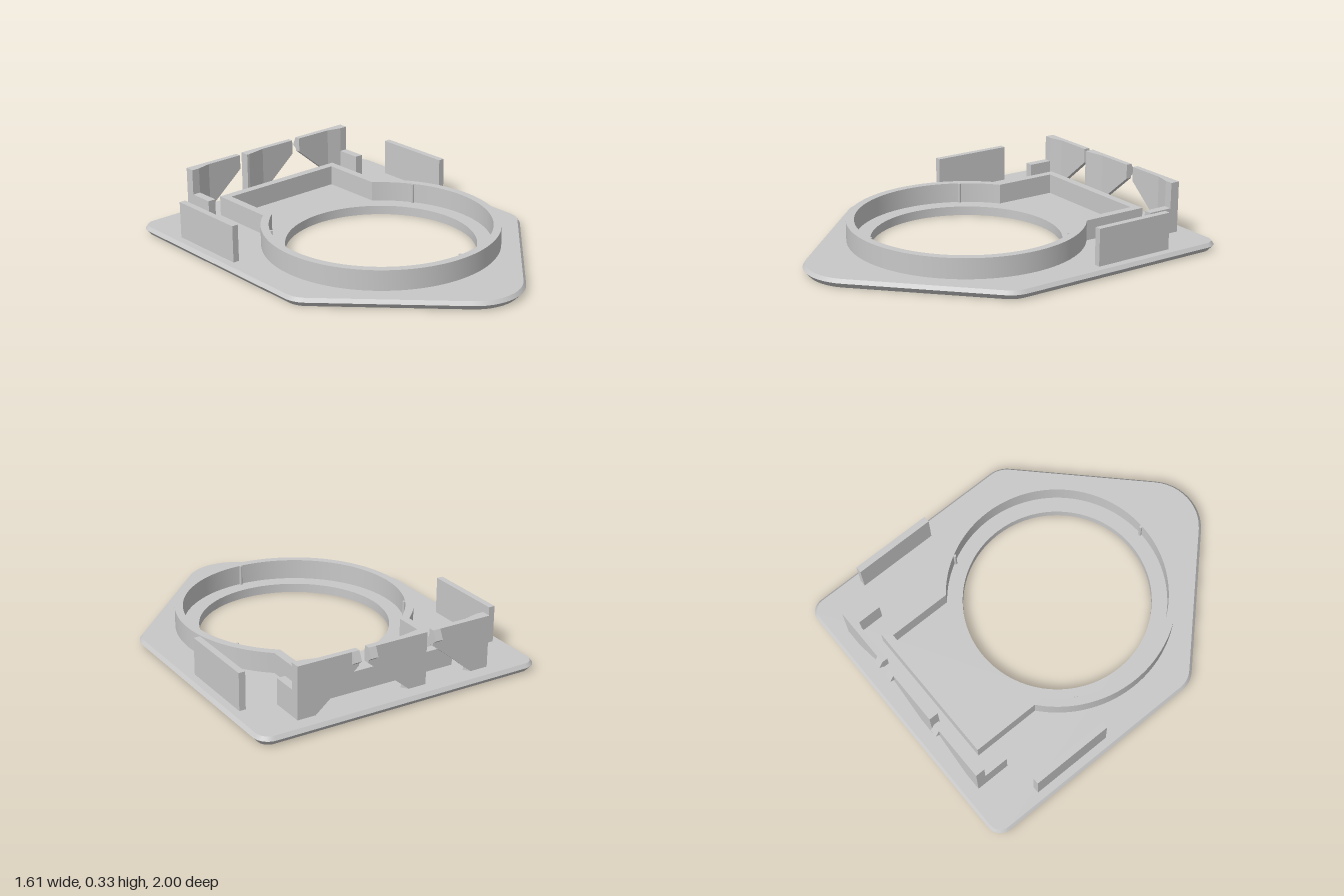
import * as THREE from 'three';
import { mergeGeometries, toCreasedNormals } from 'three/addons/utils/BufferGeometryUtils.js';

const grey = new THREE.MeshStandardMaterial({ color: 0xc8c8c8 });
grey.name = 'grey plastic';

const TOP = 0.05;          // upper face of the base plate
const CZ = 0.059;          // centre of the round opening
const rad = THREE.MathUtils.degToRad;

// Rounded outline corners: [x, z, radius, start angle, end angle]
const plateCorners = [
  [0, 0.73, 0.27, 45, 135], [-0.657, 0.243, 0.15, 135, 180],
  [-0.727, -0.92, 0.08, 180, 270], [0.727, -0.92, 0.08, 270, 360],
  [0.657, 0.243, 0.15, 0, 45],
];
const slotCorners = [
  [0.385, -0.68, 0.095, 0, 90], [-0.385, -0.68, 0.095, 90, 180],
  [-0.385, -0.71, 0.095, 180, 270], [0.385, -0.71, 0.095, 270, 360],
];
const holeCorners = [[0, CZ, 0.507, 0, 180], [0, CZ, 0.507, 180, 358]];

// Points (x, z) of an outline moved inwards by inset
function outline(corners, inset = 0, steps = 12) {
  const pts = [];
  for (const [cx, cz, r, a0, a1] of corners) {
    for (let i = 0; i <= steps; i++) {
      const a = rad(a0 + (a1 - a0) * i / steps);
      pts.push(new THREE.Vector2(cx + (r - inset) * Math.cos(a), cz + (r - inset) * Math.sin(a)));
    }
  }
  return pts;
}

// Wall between two matching outlines; listing the upper one first faces it inwards
function wall(a, ya, b, yb) {
  const pos = [];
  for (let i = 0; i < a.length; i++) {
    const j = (i + 1) % a.length;
    if (a[i].distanceTo(a[j]) < 1e-6) continue;
    const p = [a[i].x, ya, a[i].y], q = [a[j].x, ya, a[j].y];
    const r = [b[i].x, yb, b[i].y], s = [b[j].x, yb, b[j].y];
    pos.push(...p, ...r, ...q, ...q, ...r, ...s);
  }
  const g = new THREE.BufferGeometry();
  g.setAttribute('position', new THREE.Float32BufferAttribute(pos, 3));
  return g;
}

// Flat face at height y, facing up or down
function cap(pts, y, up, holes = []) {
  const flat = (list) => list.map((p) => new THREE.Vector2(p.x, up ? -p.y : p.y));
  const shape = new THREE.Shape(flat(pts));
  shape.holes = holes.map((h) => new THREE.Path(flat(h)));
  const g = new THREE.ShapeGeometry(shape).toNonIndexed();
  g.rotateX(up ? -Math.PI / 2 : Math.PI / 2).translate(0, y, 0);
  g.deleteAttribute('uv');
  g.deleteAttribute('normal');
  return g;
}

// Bevelled plate with a round opening and a shallow slot underneath
function plateGeometry() {
  const low = outline(plateCorners, 0.027), mid = outline(plateCorners), high = outline(plateCorners, 0.014);
  const hole = outline(holeCorners, 0, 40);
  const slot = outline(slotCorners), slotFloor = outline(slotCorners, 0.018);
  return toCreasedNormals(mergeGeometries([
    wall(low, 0, mid, 0.03), wall(mid, 0.03, high, TOP),
    cap(high, TOP, true, [hole]), cap(low, 0, false, [hole, slot]),
    wall(hole, TOP, hole, 0),
    wall(slotFloor, 0.02, slot, 0), cap(slotFloor, 0.02, false),
  ]), rad(25));
}

// Circle joined to a rectangle reaching backwards, counter-clockwise
function keyhole(PathType, r, w, back) {
  const a = Math.acos(w / r);
  const p = new PathType();
  p.absarc(0, -CZ, r, Math.PI - a, a, false);
  p.lineTo(w, back);
  p.lineTo(-w, back);
  p.closePath();
  return p;
}

function extrude(shape, depth) {
  return new THREE.ExtrudeGeometry(shape, { depth, bevelEnabled: false, curveSegments: 80 });
}

function polygon(points, d = 1) {
  return new THREE.Shape(points.map(([x, y]) => new THREE.Vector2(x * d, y)));
}

export function createModel() {
  const model = new THREE.Group();
  const add = (name, geometry, parent = model, x = 0, y = 0, z = 0) => {
    const mesh = new THREE.Mesh(geometry, grey);
    mesh.name = name;
    mesh.position.set(x, y, z);
    parent.add(mesh);
  };

  add('basePlate', plateGeometry());

  // Raised keyhole-shaped rim
  const rimShape = keyhole(THREE.Shape, 0.633, 0.405, 0.805);
  rimShape.holes.push(keyhole(THREE.Path, 0.59, 0.36, 0.76));
  const rim = extrude(rimShape, 0.11).rotateX(-Math.PI / 2);
  add('rim', toCreasedNormals(rim, rad(25)), model, 0, TOP, 0);

  // Three thin ribs on the inner wall of the rim
  for (const angle of [90, 210, 330]) {
    const a = rad(angle);
    add('rimRib', new THREE.CylinderGeometry(0.008, 0.008, 0.11, 10), model,
      0.584 * Math.cos(a), TOP + 0.055, CZ + 0.584 * Math.sin(a));
  }

  // Upright side walls
  for (const s of [-1, 1]) {
    add('sideWall', new THREE.BoxGeometry(0.035, 0.2, 0.455), model, s * 0.734, 0.15, -0.464);
  }

  // Rear snap panels: d gives the direction in which the panel reaches out
  const width = 0.34, backZ = -0.914;
  const snapPanel = (name, x, d, hasLeg) => {
    const g = new THREE.Group();
    g.name = name;
    g.position.x = x;
    model.add(g);
    // Thin panel with a slanted lower edge
    add('panel', extrude(polygon(
      [[0, TOP], [0, 0.33], [width, 0.33], [width, 0.25], [0.1, TOP]], d), 0.032), g, 0, 0, backZ);
    // Thicker root, tapering into the panel
    const flatEnd = hasLeg ? 0.045 : 0.015;
    const root = extrude(polygon(
      [[0, 0.914], [0, 0.862], [flatEnd, 0.862], [0.125, 0.882], [0.1, 0.914]], d), 0.28);
    add('panelRoot', root.rotateX(-Math.PI / 2), g, 0, TOP, 0);
    // Catch on the back of the free end
    const hook = extrude(polygon([[-0.005, 0.33], [0, 0.33], [0.024, 0.28], [0, 0.262], [-0.005, 0.262]]), 0.042);
    add('catch', hook.rotateY(Math.PI / 2), g, d > 0 ? width - 0.042 : -width, 0, backZ);
    // Low bracing leg reaching forwards
    if (hasLeg) add('leg', new THREE.BoxGeometry(0.045, 0.14, 0.189), g, d * 0.0225, 0.12, -0.8185);
  };
  snapPanel('rightSnapPanel', -0.542, 1, true);
  snapPanel('middleSnapPanel', -0.167, 1, false);
  snapPanel('leftSnapPanel', 0.564, -1, true);

  return model;
}
